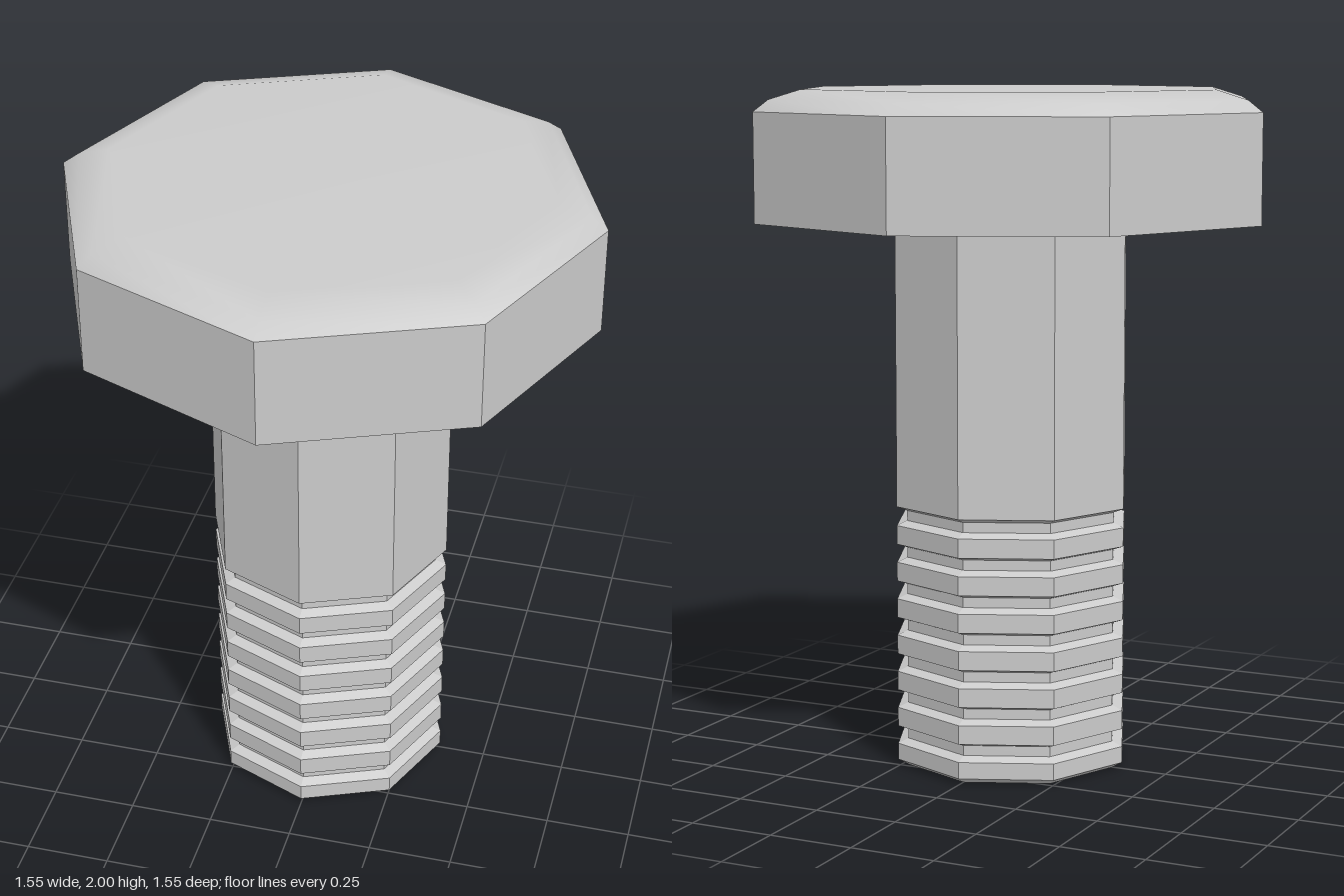
import * as THREE from 'three';

const SIDES = 8;
const flat = new THREE.MeshStandardMaterial({ color: 0xcccccc, flatShading: true });
const smooth = new THREE.MeshStandardMaterial({ color: 0xcccccc });

// Revolves a bottom-to-top profile of [radius, y] into an eight-sided solid
function turned(name, profile, material) {
  const points = profile.map(([r, y]) => new THREE.Vector2(r, y));
  const mesh = new THREE.Mesh(new THREE.LatheGeometry(points, SIDES), material);
  mesh.name = name;
  return mesh;
}

export function createModel() {
  const bolt = new THREE.Group();
  bolt.name = 'bolt';

  const R = 0.36, ROOT = 0.328, HEAD = 0.775;
  const PITCH = 0.11, RINGS = 7, SHANK_Y = 0.783;

  // Head: flat underside and straight octagonal sides
  bolt.add(turned('head', [[R, 1.622], [HEAD, 1.622], [HEAD, 1.938]], flat));

  // Crown: rounded bevel running into the flat top
  bolt.add(turned('headCrown', [[HEAD, 1.938], [0.73, 1.972], [0.635, 2], [0, 2]], smooth));

  // Plain shank
  bolt.add(turned('shank', [[ROOT, SHANK_Y - 0.013], [R, SHANK_Y], [R, 1.622]], flat));

  // Threaded end: closed tip, then chamfered rings parted by grooves
  const thread = [[0, 0], [0.33, 0]];
  for (let i = RINGS - 1; i >= 0; i--) {
    const top = 0.727 - i * PITCH;
    const bottom = i === RINGS - 1 ? 0.018 : top - 0.056;
    thread.push([R, bottom], [R, top], [ROOT, top + 0.013], [ROOT, top + 0.043]);
  }
  bolt.add(turned('thread', thread, flat));

  return bolt;
}
